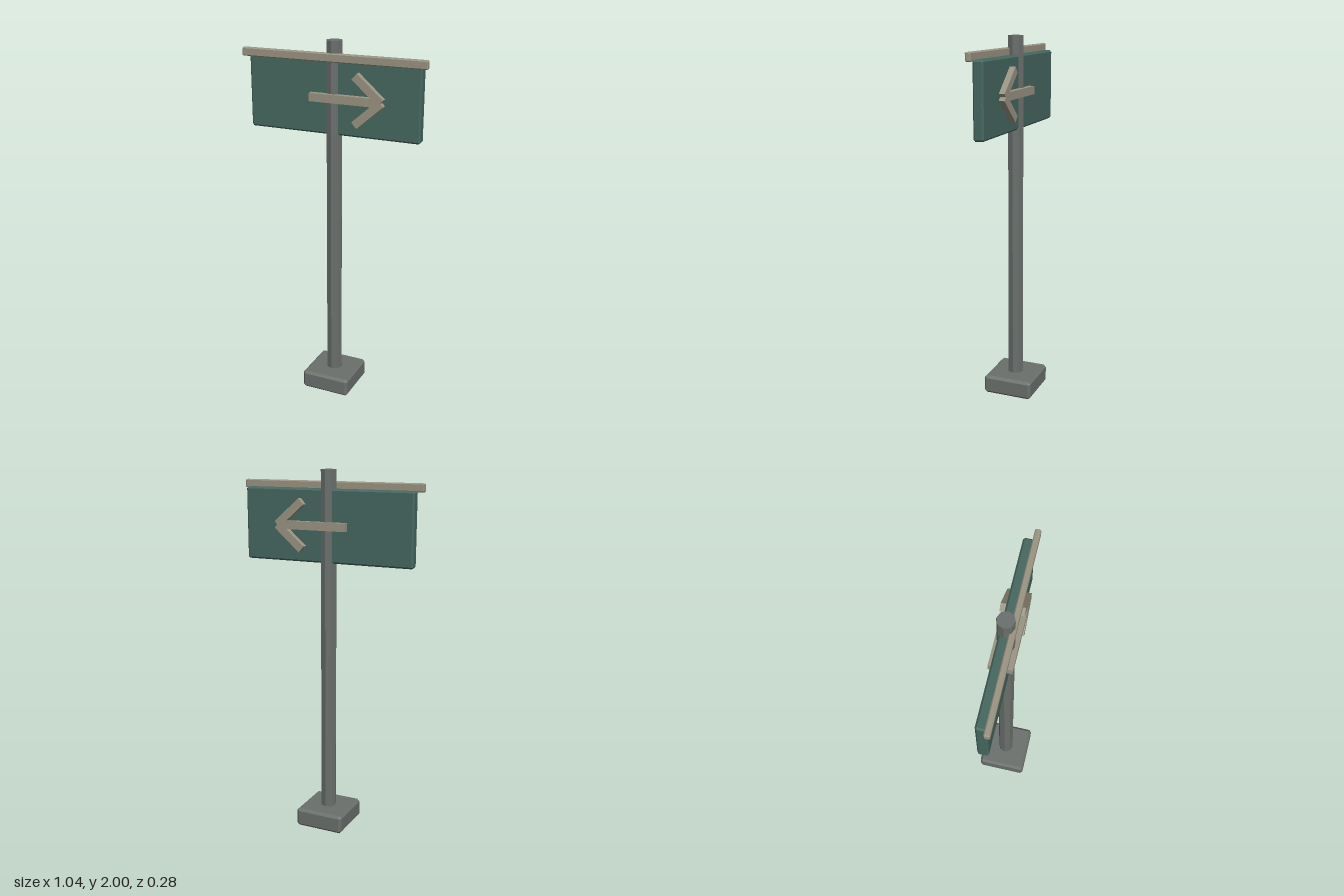
import * as THREE from 'three';
import { ConvexGeometry } from 'three/addons/geometries/ConvexGeometry.js';

// Box with flat chamfered edges
function chamferBox(w, h, d, c) {
  const points = [];
  for (const x of [-1, 1]) for (const y of [-1, 1]) for (const z of [-1, 1]) {
    const [X, Y, Z] = [w / 2, h / 2, d / 2];
    points.push(
      new THREE.Vector3(x * X, y * (Y - c), z * (Z - c)),
      new THREE.Vector3(x * (X - c), y * Y, z * (Z - c)),
      new THREE.Vector3(x * (X - c), y * (Y - c), z * Z)
    );
  }
  return new ConvexGeometry(points);
}

function material(name, color) {
  const m = new THREE.MeshStandardMaterial({ color, flatShading: true });
  m.name = name;
  return m;
}

export function createModel() {
  const model = new THREE.Group();
  model.name = 'signpost';
  const metal = material('grey metal', 0x6a6f6c);
  const green = material('dark green', 0x466760);
  const trim = material('beige trim', 0x9a9482);

  function add(parent, name, geometry, mat, x, y, z) {
    const mesh = new THREE.Mesh(geometry, mat);
    mesh.name = name;
    mesh.position.set(x, y, z);
    parent.add(mesh);
    return mesh;
  }

  // Foot and octagonal pole
  add(model, 'base', chamferBox(0.28, 0.105, 0.28, 0.014), metal, 0, 0.0525, 0);
  add(model, 'pole', new THREE.CylinderGeometry(0.044, 0.044, 1.95, 8), metal, 0, 1.025, 0);

  // Sign board and the rail along its upper front edge
  add(model, 'signBoard', chamferBox(0.97, 0.39, 0.056, 0.009), green, 0, 1.705, 0);
  add(model, 'topRail', chamferBox(1.036, 0.045, 0.03, 0.005), trim, 0, 1.915, 0.035);

  // Raised arrow on both faces, pointing to +x
  for (const side of [1, -1]) {
    const arrow = new THREE.Group();
    arrow.name = side > 0 ? 'frontArrow' : 'backArrow';
    arrow.position.set(0, 1.707, side * 0.043);
    add(arrow, 'arrowShaft', new THREE.BoxGeometry(0.4, 0.044, 0.034), trim, 0.08, 0, 0);
    for (const s of [1, -1]) {
      const arm = add(arrow, s > 0 ? 'arrowUpperArm' : 'arrowLowerArm',
        new THREE.BoxGeometry(0.191, 0.043, 0.034), trim, 0.208, s * 0.064, 0);
      arm.rotation.z = -s * 0.716;
    }
    model.add(arrow);
  }
  return model;
}
